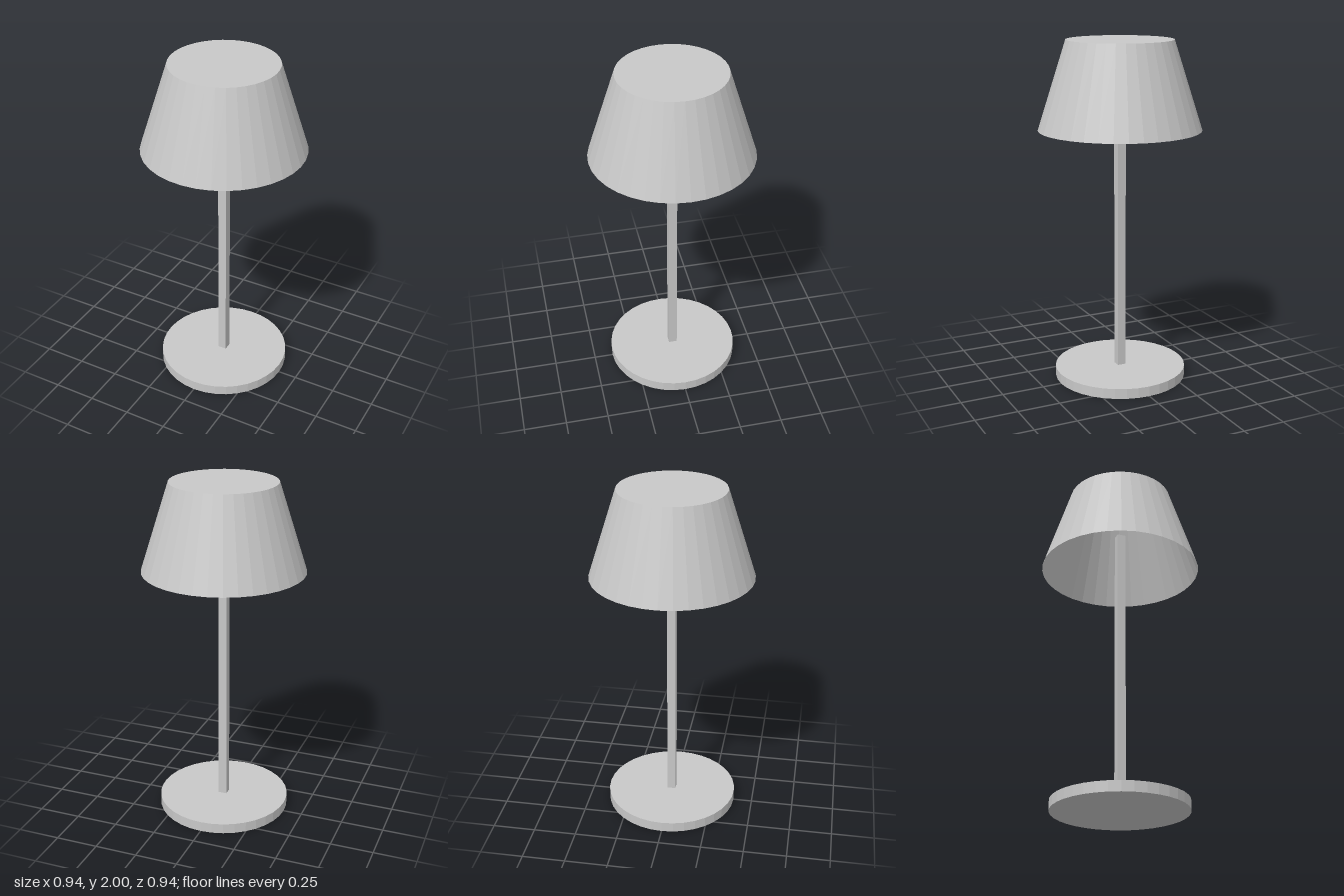
import * as THREE from 'three';

const SIDES = 36;

export function createModel() {
  const lamp = new THREE.Group();
  lamp.name = 'tableLamp';

  const grey = new THREE.MeshStandardMaterial({
    color: 0xc8c8c8, flatShading: true, side: THREE.DoubleSide,
  });
  grey.name = 'light grey';

  const add = (name, geometry, y, parent = lamp) => {
    const mesh = new THREE.Mesh(geometry, grey);
    mesh.name = name;
    mesh.position.y = y;
    parent.add(mesh);
    return mesh;
  };

  // Round foot
  const baseHeight = 0.06;
  add('base', new THREE.CylinderGeometry(0.388, 0.388, baseHeight, SIDES), baseHeight / 2);

  // Square pole, ending inside the shade
  const poleTop = 1.73;
  const poleHeight = poleTop - baseHeight;
  add('pole', new THREE.BoxGeometry(0.05, poleHeight, 0.05), baseHeight + poleHeight / 2);

  // Thin tapered shade: closed on top, open underneath
  const shade = new THREE.Group();
  shade.name = 'shade';
  lamp.add(shade);
  const shadeBottom = 1.49, shadeTop = 2, topRadius = 0.307;
  add('shadeWall',
    new THREE.CylinderGeometry(topRadius, 0.47, shadeTop - shadeBottom, SIDES, 1, true),
    (shadeTop + shadeBottom) / 2, shade);
  add('shadeLid', new THREE.CircleGeometry(topRadius, SIDES).rotateX(-Math.PI / 2), shadeTop, shade);

  return lamp;
}
